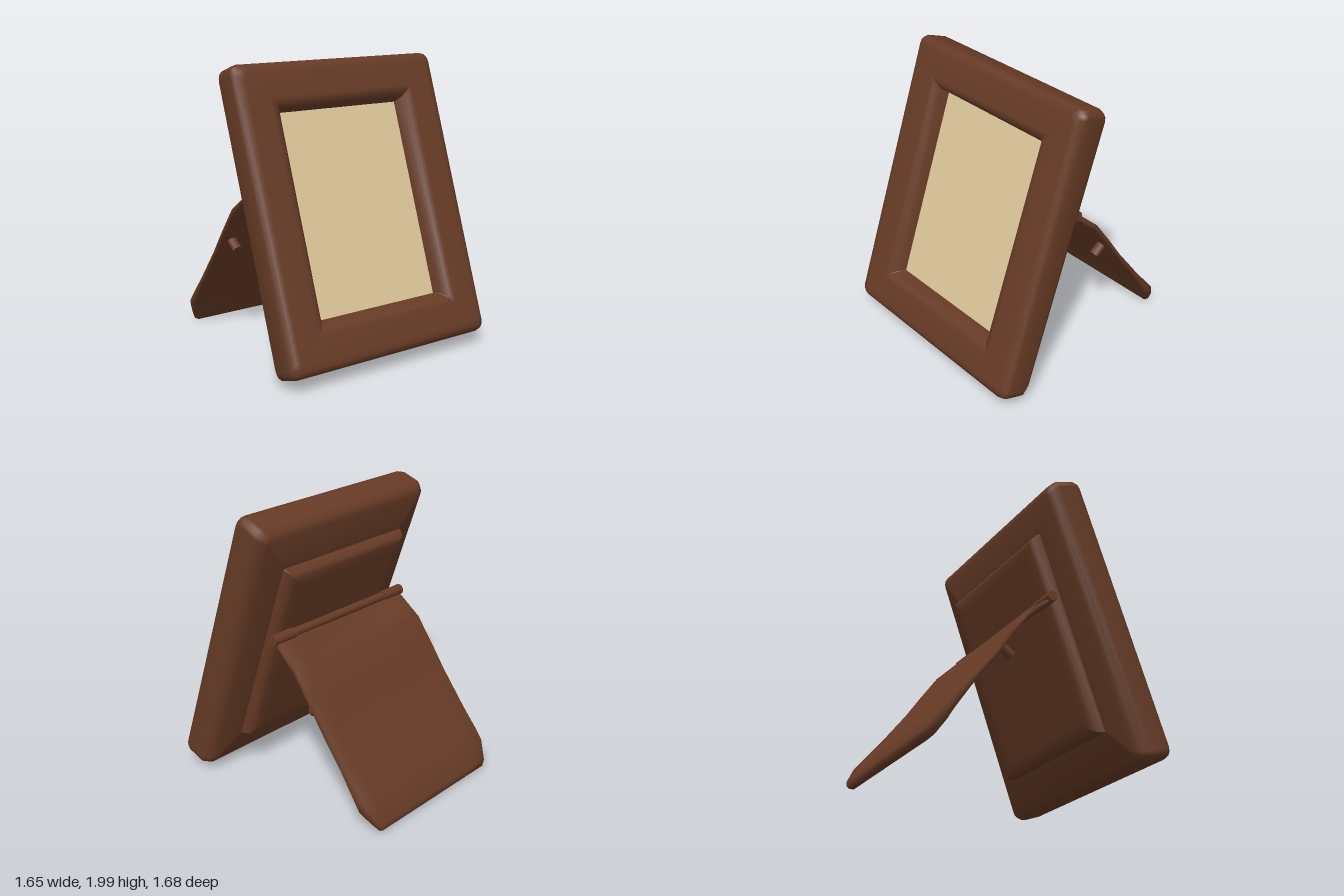
import * as THREE from 'three';

const wood = new THREE.MeshStandardMaterial({ color: 0x673b26 });
wood.name = 'brown wood';
const paper = new THREE.MeshStandardMaterial({ color: 0xdcc699 });
paper.name = 'cream paper';

// Skin a series of closed rings that all have the same number of points.
function loft(rings) {
  const n = rings[0].length;
  const index = [];
  for (let j = 0; j < rings.length - 1; j++) {
    for (let i = 0; i < n; i++) {
      const k = (i + 1) % n;
      const a = j * n + i, b = j * n + k, c = a + n, d = b + n;
      index.push(a, b, d, a, d, c);
    }
  }
  const g = new THREE.BufferGeometry();
  g.setAttribute('position', new THREE.Float32BufferAttribute(rings.flat(2), 3));
  g.setIndex(index);
  g.computeVertexNormals();
  return g;
}

// Rounded rectangle in the frame's own plane.
function rectRing([w, h, z, r]) {
  const pts = [];
  [[1, 1], [-1, 1], [-1, -1], [1, -1]].forEach(([sx, sy], q) => {
    for (let i = 0; i <= 3; i++) {
      const a = (q + i / 3) * Math.PI / 2;
      pts.push([sx * (w - r) + r * Math.cos(a), sy * (h - r) + r * Math.sin(a), z]);
    }
  });
  return pts;
}

function add(parent, name, geometry, material, x = 0, y = 0, z = 0) {
  const m = new THREE.Mesh(geometry, material);
  m.name = name;
  m.position.set(x, y, z);
  parent.add(m);
  return m;
}

export function createModel() {
  const model = new THREE.Group();
  model.name = 'pictureFrame';

  // Leaning frame with its picture and backing
  const tilt = -0.337;
  const leaning = new THREE.Group();
  leaning.name = 'leaningFrame';
  leaning.rotation.x = tilt;
  model.add(leaning);
  const mid = 0.828;

  // Border: half width, half height, depth, corner radius
  add(leaning, 'border', loft([
    [0.56, 0.69, 0.542, 0.01],
    [0.62, 0.76, 0.544, 0.01],
    [0.75, 0.94, 0.573, 0.03],
    [0.795, 0.983, 0.597, 0.05],
    [0.825, 1.008, 0.65, 0.06],
    [0.825, 1.008, 0.785, 0.06],
    [0.814, 0.997, 0.82, 0.06],
    [0.785, 0.967, 0.839, 0.05],
    [0.75, 0.93, 0.841, 0.03],
    [0.59, 0.775, 0.841, 0.01],
    [0.55, 0.738, 0.836, 0.01],
    [0.515, 0.702, 0.8, 0.005],
    [0.493, 0.682, 0.735, 0.002],
  ].map(rectRing)), wood, 0, mid, 0);

  add(leaning, 'picture', new THREE.PlaneGeometry(0.988, 1.366), paper, 0, mid, 0.738);

  // Raised backing panel with a softened rim
  add(leaning, 'backPanel', loft([
    [0, 0, 0.466, 0],
    [0.46, 0.6, 0.466, 0.005],
    [0.53, 0.672, 0.467, 0.005],
    [0.565, 0.7, 0.484, 0.005],
    [0.585, 0.718, 0.525, 0.005],
    [0.59, 0.722, 0.56, 0.005],
  ].map(rectRing)), wood, 0, mid - 0.008, 0);

  // Hinge: thin rod with a thicker knuckle at each end
  const hinge = new THREE.Group();
  hinge.name = 'hinge';
  hinge.position.set(0, 1.137, 0.052);
  model.add(hinge);
  const rod = (name, r, len, x) => {
    add(hinge, name, new THREE.CylinderGeometry(r, r, len, 12), wood, x).rotation.z = Math.PI / 2;
  };
  rod('hingeRod', 0.03, 1.0, 0);
  for (const s of [-1, 1]) rod('hingeKnuckle', 0.038, 0.2, s * 0.56);

  // Curved support leg: outer z, y; inner z, y; half width; notch flag
  const stations = [
    [0.045, 1.125, 0.045, 1.125, 0.64, 0],
    [0.012, 1.105, 0.03, 1.09, 0.65, 1],
    [-0.1, 1.02, -0.07, 0.995, 0.655, 1],
    [-0.15, 0.98, -0.12, 0.955, 0.658, 0],
    [-0.28, 0.80, -0.255, 0.775, 0.66, 0],
    [-0.39, 0.64, -0.355, 0.63, 0.66, 0],
    [-0.58, 0.395, -0.55, 0.365, 0.66, 0],
    [-0.71, 0.24, -0.67, 0.185, 0.66, 0],
    [-0.765, 0.175, -0.70, 0.13, 0.655, 0],
    [-0.835, 0.055, -0.755, 0.04, 0.60, 0],
    [-0.84, 0.015, -0.79, 0.003, 0.575, 0],
    [-0.82, 0.002, -0.82, 0.002, 0.56, 0],
  ];
  // Across the leg: x fraction, inner-to-outer fraction
  const across = [[-1, 0.5], [-0.975, 1], [-0.8, 1], [-0.4, 1], [0.05, 1], [0.8, 1],
    [0.975, 1], [1, 0.5], [0.975, 0], [0.3, 0], [-0.3, 0], [-0.975, 0]];
  add(model, 'supportLeg', loft(stations.map(([oz, oy, iz, iy, w, notch]) =>
    across.map(([x, t], i) => {
      const f = notch && (i === 3 || i === 4) ? 0.05 : t;
      return [x * w, iy + (oy - iy) * f, iz + (oz - iz) * f];
    }))), wood);

  // Small pegs on the inner side of the leg
  for (const s of [-1, 1]) {
    const peg = add(model, 'legPeg', new THREE.CylinderGeometry(0.034, 0.034, 0.09, 8), wood, s * 0.56, 0.697, -0.25);
    peg.rotation.x = -0.95;
  }

  return model;
}
